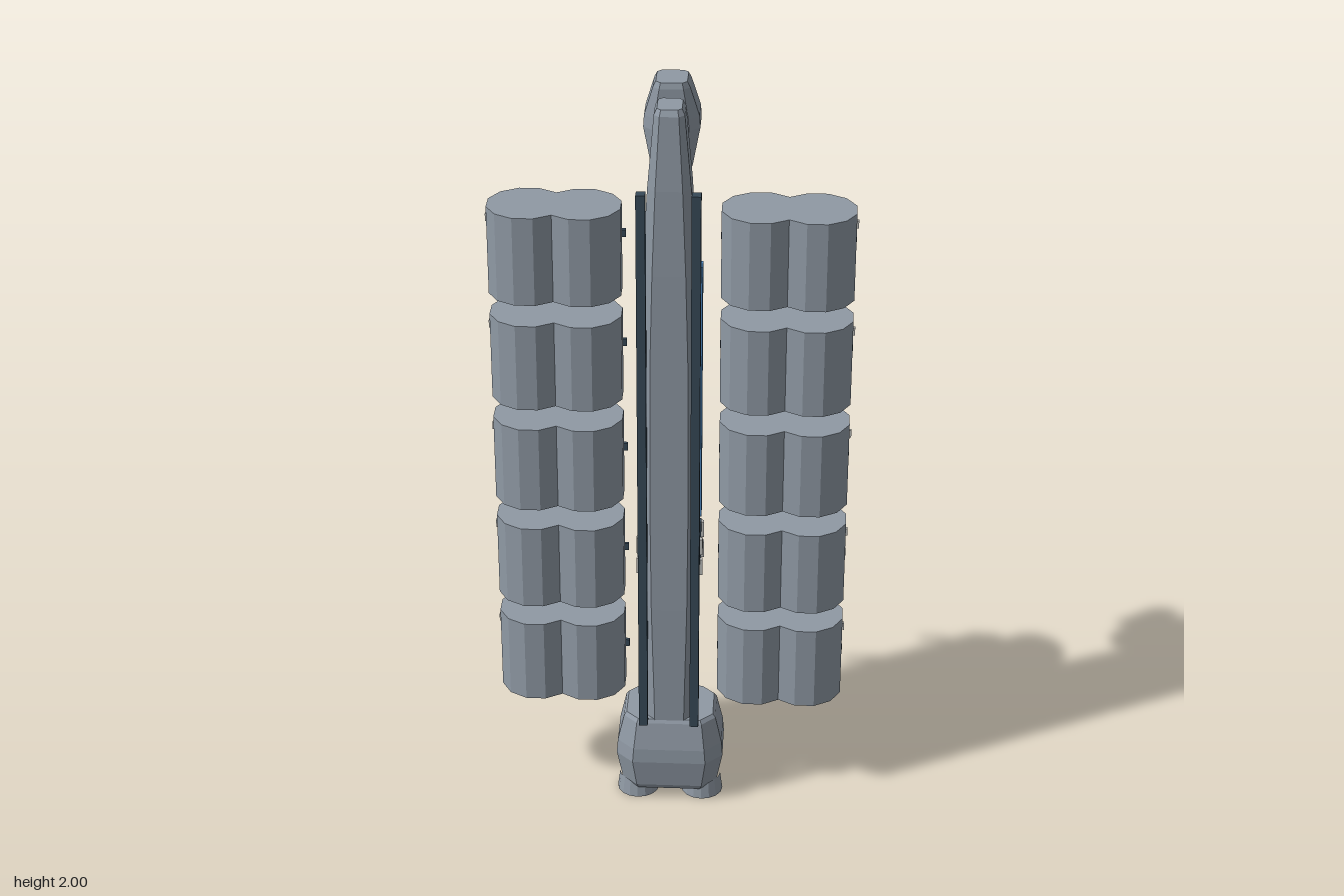
import * as THREE from 'three';

const mat = (name, color) => {
  const m = new THREE.MeshStandardMaterial({ color });
  m.name = name;
  return m;
};

// Faceted normals for any geometry
function facet(geo) {
  const g = geo.index ? geo.toNonIndexed() : geo;
  g.computeVertexNormals();
  return g;
}

// Chamfered-rectangle sections stacked upward; row = [y, halfWidth, zBack, zFront, chamfer]
function loft(rows) {
  const rings = rows.map(([y, w, b, f, c]) => [
    [w, b + c], [w, f - c], [w - c, f], [c - w, f],
    [-w, f - c], [-w, b + c], [c - w, b], [w - c, b],
  ].map(([x, z]) => [x, y, z]));
  const pos = [];
  const tri = (...p) => p.forEach((v) => pos.push(...v));
  const last = rings[rings.length - 1];
  for (let i = 0; i < 8; i++) {
    const j = (i + 1) % 8;
    for (let r = 0; r < rings.length - 1; r++) {
      const lo = rings[r], hi = rings[r + 1];
      tri(lo[i], hi[i], hi[j]);
      tri(lo[i], hi[j], lo[j]);
    }
    if (i > 0 && i < 7) {
      tri(last[0], last[j], last[i]);
      tri(rings[0][0], rings[0][i], rings[0][j]);
    }
  }
  const g = new THREE.BufferGeometry();
  g.setAttribute('position', new THREE.Float32BufferAttribute(pos, 3));
  g.computeVertexNormals();
  return g;
}

export function createModel() {
  const model = new THREE.Group();
  model.name = 'cargoShip';
  const hull = mat('hullGrey', 0x8f99a4);
  const dark = mat('darkSteel', 0x374957);
  const blue = mat('panelBlue', 0x4d88c0);
  const light = mat('paleGrey', 0xb9bab8);
  const glow = mat('engineBlue', 0x2f6499);

  const add = (name, geo, material, x = 0, y = 0, z = 0, parent = model) => {
    const m = new THREE.Mesh(geo, material);
    m.name = name;
    m.position.set(x, y, z);
    parent.add(m);
    return m;
  };
  const box = (name, w, h, d, material, x, y, z, parent) =>
    add(name, new THREE.BoxGeometry(w, h, d), material, x, y, z, parent);

  // Long tapering spine
  add('spine', loft([
    [0.24, 0.058, 0.012, 0.125, 0.02],
    [0.6, 0.071, 0.002, 0.13, 0.025],
    [0.85, 0.075, -0.002, 0.13, 0.027],
    [1.3, 0.074, -0.002, 0.13, 0.027],
    [1.55, 0.066, 0.004, 0.13, 0.025],
    [1.77, 0.053, 0.012, 0.127, 0.02],
    [1.955, 0.037, 0.022, 0.116, 0.014],
    [1.97, 0.03, 0.028, 0.108, 0.01],
  ]), hull);

  // Command head behind the spine tip
  add('head', loft([
    [1.77, 0.046, -0.08, 0.004, 0.018],
    [1.785, 0.051, -0.09, 0.01, 0.02],
    [1.88, 0.069, -0.118, 0.012, 0.026],
    [1.91, 0.067, -0.118, 0.012, 0.026],
    [1.985, 0.045, -0.092, 0.012, 0.016],
    [2.0, 0.038, -0.083, 0.008, 0.012],
  ]), hull);

  // Tilted rear antenna plate with its mounts
  const plate = new THREE.Shape();
  const pw = 0.044, pc = 0.01;
  [[pw, pc], [pw, -pc], [pw - pc, -0.015], [pc - pw, -0.015],
    [-pw, -pc], [-pw, pc], [pc - pw, 0.015], [pw - pc, 0.015]]
    .map(([x, z]) => [x, z * 0.75])
    .forEach(([x, z], i) => (i ? plate.lineTo(x, z) : plate.moveTo(x, z)));
  const plateGeo = new THREE.ExtrudeGeometry(plate, { depth: 0.15, bevelEnabled: false });
  plateGeo.translate(0, 0, -0.075).rotateX(Math.PI / 2);
  add('antennaPlate', plateGeo, light, 0, 1.875, -0.136).rotation.x = -0.12;
  box('antennaMount', 0.03, 0.03, 0.04, hull, 0, 1.89, -0.12);
  box('upperSensorBar', 0.06, 0.014, 0.03, dark, 0, 1.967, -0.09);
  box('lowerSensorBar', 0.06, 0.014, 0.03, dark, 0, 1.83, -0.095);

  // Engine housing
  add('engineHousing', loft([
    [0.035, 0.117, -0.042, 0.128, 0.035],
    [0.05, 0.127, -0.05, 0.136, 0.04],
    [0.13, 0.142, -0.064, 0.147, 0.045],
    [0.17, 0.139, -0.062, 0.145, 0.045],
    [0.245, 0.122, -0.047, 0.13, 0.036],
    [0.255, 0.115, -0.041, 0.124, 0.033],
  ]), hull);

  // Engine nozzles: two large, one small
  const nozzle = (name, r, x, z) => {
    const group = new THREE.Group();
    group.name = name;
    group.position.set(x, 0, z);
    model.add(group);
    const profile = [[0.68, 0.03], [0.78, 0], [1, 0], [0.88, 0.05]]
      .map(([k, y]) => new THREE.Vector2(k * r, y));
    add('bell', facet(new THREE.LatheGeometry(profile, 16)), hull, 0, 0, 0, group);
    add('exhaust', new THREE.CylinderGeometry(r * 0.76, r * 0.76, 0.008, 16), glow, 0, 0.012, 0, group);
  };
  nozzle('mainEngineLeft', 0.056, 0.086, 0.068);
  nozzle('mainEngineRight', 0.056, -0.086, 0.068);
  nozzle('smallEngine', 0.03, 0, 0.025);

  // Twelve-sided cargo drum, flats facing the axes
  const drum = new THREE.CylinderGeometry(0.099, 0.099, 0.232, 12);
  drum.rotateY(Math.PI / 12);
  const drumGeo = facet(drum);

  for (const s of [1, -1]) {
    // Front rails
    box('frontRail', 0.023, 1.515, 0.028, dark, s * 0.067, 1.0125, 0.141);
    // Long side panels
    box('sidePanel', 0.009, 0.7, 0.04, blue, s * 0.0755, 1.2, 0.052);

    // Thruster packs, fore and aft on each side
    for (const z of [0.094, 0.004]) {
      box('thrusterPack', 0.02, 0.11, 0.02, dark, s * 0.068, 0.745, z);
      for (const y of [0.715, 0.775]) {
        box('thrusterPort', 0.018, 0.045, 0.013, light, s * 0.076, y, z);
      }
    }

    // Five twin-drum cargo pods per side, each with a rear bar
    for (let i = 0; i < 5; i++) {
      const y = 0.408 + i * 0.289;
      const pod = new THREE.Group();
      pod.name = 'cargoPod';
      pod.position.set(s * 0.288, y, 0);
      model.add(pod);
      add('outerDrum', drumGeo, hull, s * 0.069, 0, 0, pod);
      add('innerDrum', drumGeo, hull, s * -0.069, 0, 0, pod);
      box('podLight', 0.01, 0.02, 0.01, light, s * 0.165, 0.078, 0, pod);
      box('rearBar', 0.338, 0.02, 0.01, dark, s * 0.288, 0.348 + i * 0.303, -0.106);
    }
  }
  return model;
}
